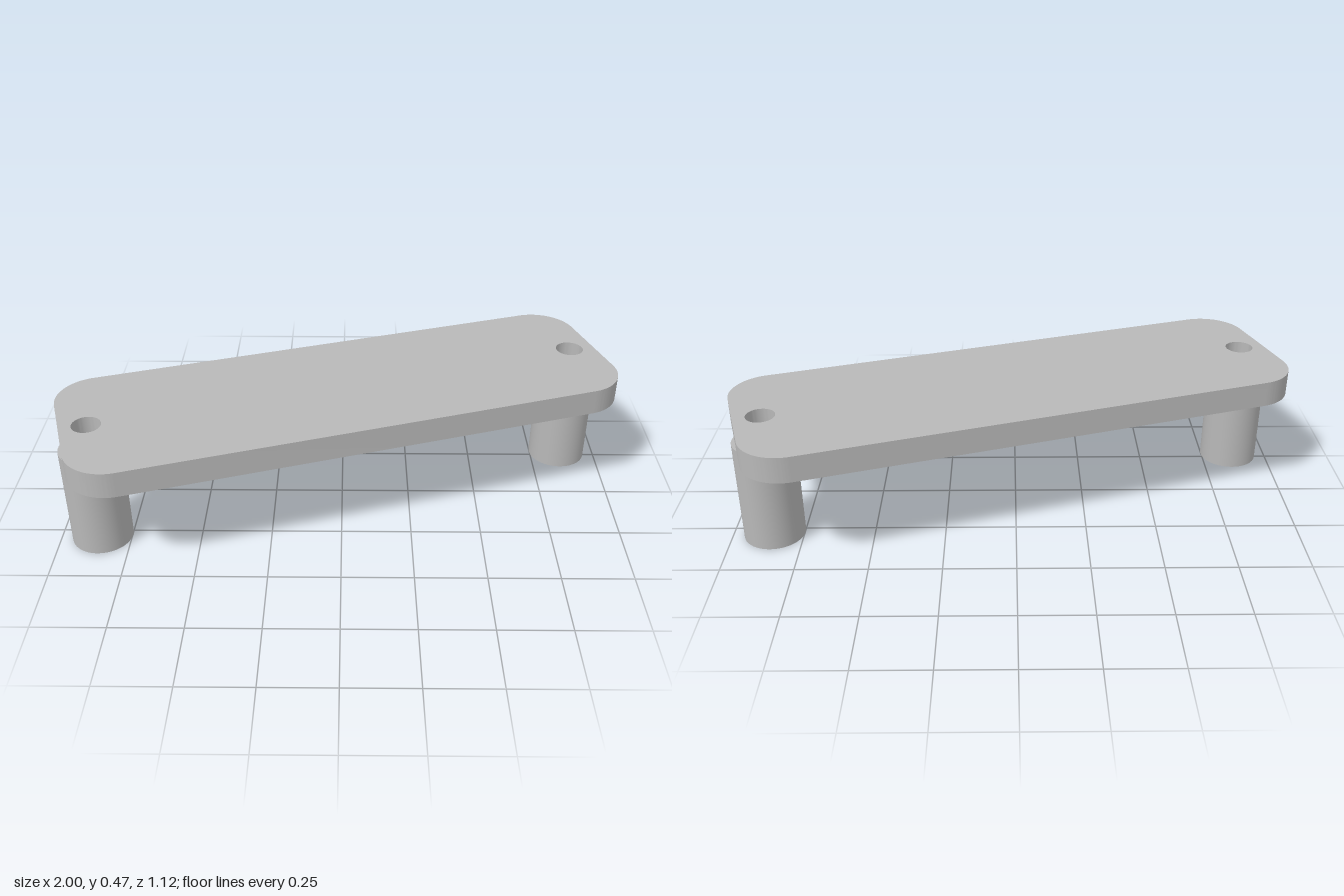
import * as THREE from 'three';
import { toCreasedNormals } from 'three/addons/utils/BufferGeometryUtils.js';

const HALF_LENGTH = 0.991, HALF_WIDTH = 0.31, CORNER = 0.15;
const PLATE_BOTTOM = 0.375, PLATE_TOP = 0.467;
const LEG_OFFSET = 0.898, LEG_RADIUS = 0.107, HOLE_RADIUS = 0.05;
const TURN = THREE.MathUtils.degToRad(17.75);

// Rounded plate with a through hole above each leg
function plateGeometry() {
  const shape = new THREE.Shape();
  const cx = HALF_LENGTH - CORNER, cy = HALF_WIDTH - CORNER;
  [[1, 1], [-1, 1], [-1, -1], [1, -1]].forEach(([sx, sy], i) => {
    const start = i * Math.PI / 2;
    shape.absarc(sx * cx, sy * cy, CORNER, start, start + Math.PI / 2, false);
  });
  shape.closePath();
  for (const side of [-1, 1]) {
    const hole = new THREE.Path();
    hole.absarc(side * LEG_OFFSET, 0, HOLE_RADIUS, 0, Math.PI * 2, true);
    shape.holes.push(hole);
  }
  const geometry = new THREE.ExtrudeGeometry(shape, {
    depth: PLATE_TOP - PLATE_BOTTOM, bevelEnabled: false, curveSegments: 24,
  });
  geometry.rotateX(-Math.PI / 2).translate(0, PLATE_BOTTOM, 0);
  return toCreasedNormals(geometry, Math.PI / 6);
}

// Hollow tube leg
function legGeometry() {
  const profile = [
    [HOLE_RADIUS, 0], [LEG_RADIUS, 0], [LEG_RADIUS, PLATE_BOTTOM],
    [HOLE_RADIUS, PLATE_BOTTOM], [HOLE_RADIUS, 0],
  ].map(([r, y]) => new THREE.Vector2(r, y));
  return toCreasedNormals(new THREE.LatheGeometry(profile, 48), Math.PI / 6);
}

export function createModel() {
  const model = new THREE.Group();
  model.name = 'standoffPlate';
  const grey = new THREE.MeshStandardMaterial({ color: 0xb8b8b8 });
  grey.name = 'grey';

  const plate = new THREE.Mesh(plateGeometry(), grey);
  plate.name = 'plate';
  model.add(plate);

  const leg = legGeometry();
  for (const side of [-1, 1]) {
    const mesh = new THREE.Mesh(leg, grey);
    mesh.name = side > 0 ? 'leftLeg' : 'rightLeg';
    mesh.position.x = side * LEG_OFFSET;
    model.add(mesh);
  }

  // The whole piece sits at an angle to the axes
  model.rotation.y = TURN;
  return model;
}
